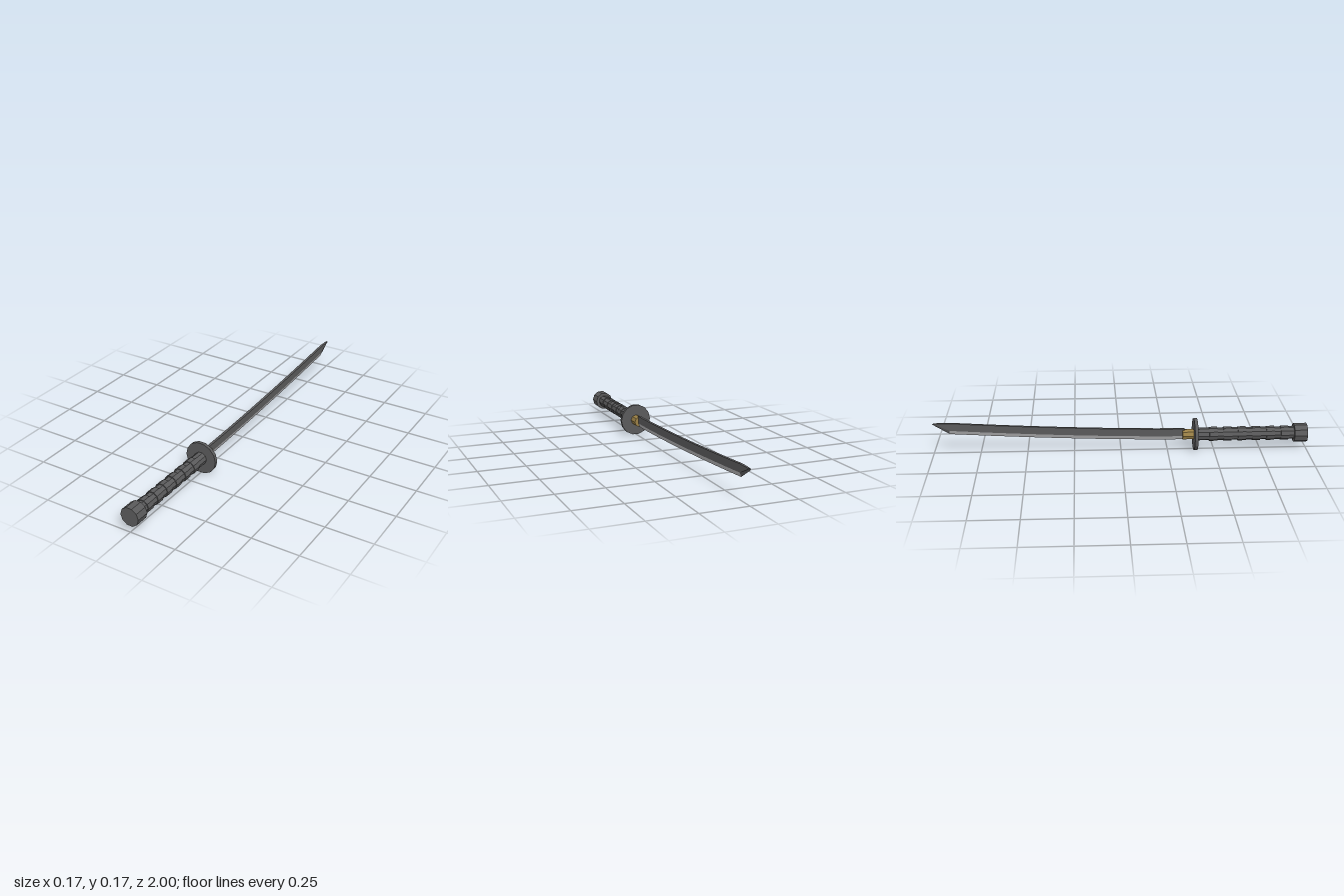
import * as THREE from 'three';

const mat = (name, color, extra = {}) => {
  const m = new THREE.MeshStandardMaterial({ color, ...extra });
  m.name = name;
  return m;
};

const AXIS_Y = 0.085;

// Faceted cylinder lying along z, with a corner on each side in x
function barrel(name, radius, zFrom, zTo, sides, material) {
  const geo = new THREE.CylinderGeometry(radius, radius, zTo - zFrom, sides, 1, false, Math.PI / 2)
    .rotateX(Math.PI / 2).toNonIndexed();
  geo.computeVertexNormals();
  const mesh = new THREE.Mesh(geo, material);
  mesh.name = name;
  mesh.position.set(0, AXIS_Y, (zFrom + zTo) / 2);
  return mesh;
}

// Five-cornered blade section: spine (2), ridge, cutting edge, ridge
function bladeSection(t) {
  const z = 0.34 - 1.25 * t;
  const lift = 0.054 * Math.pow(t, 1.6);
  const w = 0.007;
  return [
    [w, 0.118 + lift, z], [-w, 0.118 + lift, z],
    [-w, 0.077 + lift, z], [0, 0.056 + lift, z], [w, 0.077 + lift, z],
  ];
}

function facets(name, triangles, material) {
  const geo = new THREE.BufferGeometry();
  geo.setAttribute('position', new THREE.Float32BufferAttribute(triangles.flat(), 3));
  geo.computeVertexNormals();
  const mesh = new THREE.Mesh(geo, material);
  mesh.name = name;
  return mesh;
}

function buildBlade(steel, edgeSteel) {
  const sections = [];
  const steps = 16;
  for (let i = 0; i <= steps; i++) sections.push(bladeSection(i / steps));
  // slanted point
  const tip = [[0.005, 0.171, -0.99], [-0.005, 0.171, -0.99],
    [-0.005, 0.167, -0.985], [0, 0.167, -1], [0.005, 0.167, -0.985]];
  sections.push(tip);

  const body = [], edge = [];
  for (let s = 0; s < sections.length - 1; s++) {
    const a = sections[s], b = sections[s + 1];
    for (let i = 0; i < 5; i++) {
      const j = (i + 1) % 5;
      const sharpened = (i === 2 || i === 3) && s < steps;
      (sharpened ? edge : body).push(a[i], b[i], a[j], b[i], b[j], a[j]);
    }
  }
  for (let i = 1; i < 4; i++) body.push(tip[0], tip[i + 1], tip[i]);

  const blade = new THREE.Group();
  blade.name = 'blade';
  blade.add(facets('bladeBody', body, steel), facets('cuttingEdge', edge, edgeSteel));
  return blade;
}

export function createModel() {
  const dark = mat('darkSteel', 0x5a5a5b, { flatShading: true });
  const bright = mat('edgeSteel', 0xb2b2b4, { flatShading: true });
  const gold = mat('brass', 0x9a8046, { flatShading: true });

  const sword = new THREE.Group();
  sword.name = 'curvedSword';

  sword.add(buildBlade(dark, bright));
  sword.add(barrel('bladeCollar', 0.029, 0.33, 0.395, 8, gold));
  sword.add(barrel('guard', 0.087, 0.39, 0.408, 14, dark));

  // Grip with raised bands
  const handle = new THREE.Group();
  handle.name = 'handle';
  handle.add(barrel('grip', 0.034, 0.405, 0.94, 10, dark));
  for (let i = 0; i < 6; i++) {
    const z = 0.495 + i * 0.077;
    handle.add(barrel('gripBand', 0.038, z - 0.022, z + 0.022, 10, dark));
  }
  handle.add(barrel('pommel', 0.051, 0.93, 1.0, 10, dark));
  sword.add(handle);

  return sword;
}
